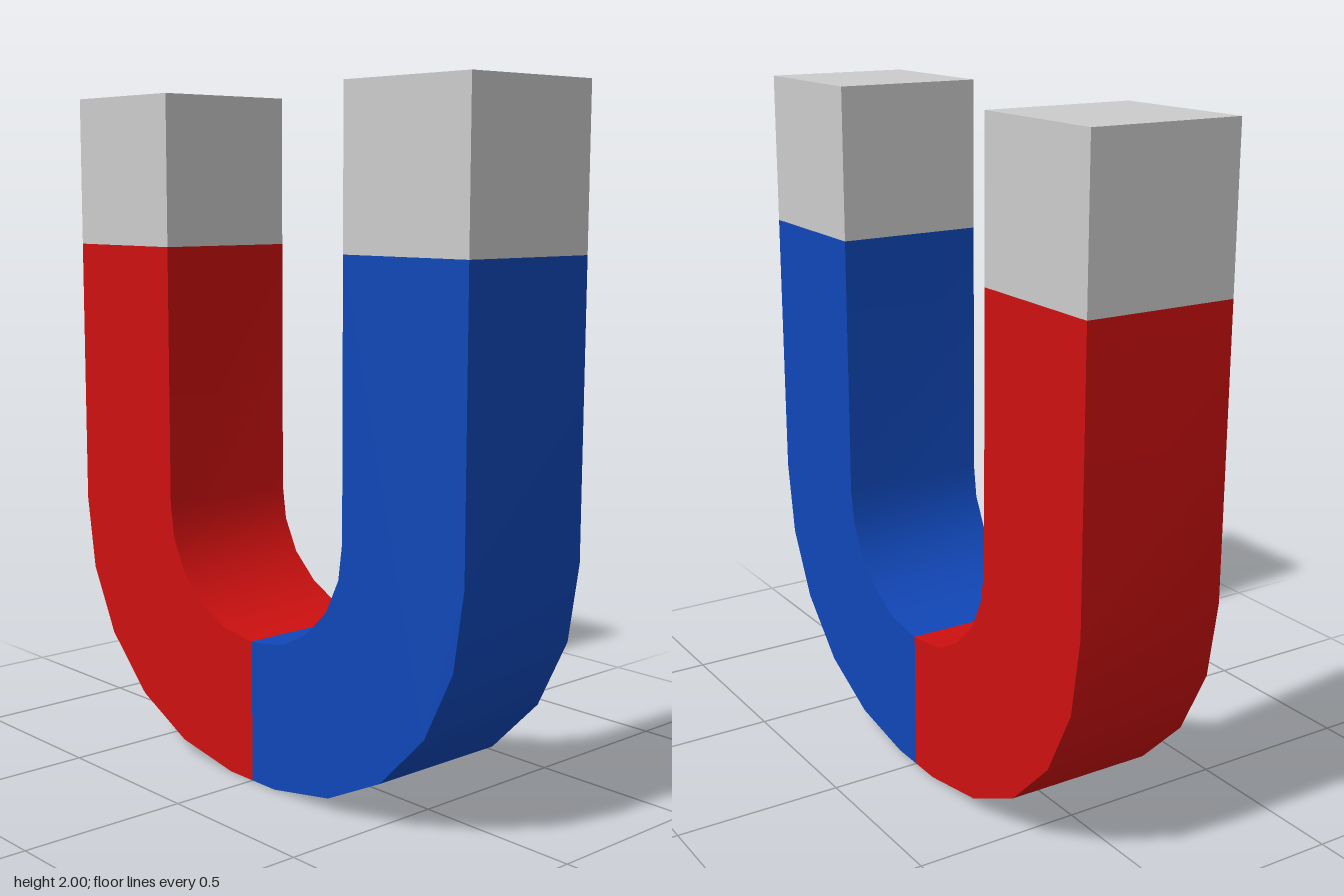
import * as THREE from 'three';
import { toCreasedNormals } from 'three/addons/utils/BufferGeometryUtils.js';

const WIDTH = 0.45;   // square bar section
const TIP_Y = 1.55;   // where the bare tips begin

// Half of the U as seen from the side: [z, y], outer edge then inner edge
const OUTER = [[0, 0], [0.1, 0], [0.33, 0.04], [0.535, 0.14], [0.7, 0.305], [0.8, 0.505], [0.835, 0.73], [0.835, TIP_Y]];
const INNER = [[0.385, TIP_Y], [0.385, 0.775], [0.37, 0.67], [0.32, 0.57], [0.235, 0.49], [0.14, 0.44], [0.02, 0.422], [0, 0.422]];

function halfGeometry() {
  const shape = new THREE.Shape([...OUTER, ...INNER].map(([z, y]) => new THREE.Vector2(z, y)));
  const geo = new THREE.ExtrudeGeometry(shape, { depth: WIDTH, bevelEnabled: false });
  geo.translate(0, 0, -WIDTH / 2);
  geo.rotateY(-Math.PI / 2); // profile runs along z, thickness along x
  return toCreasedNormals(geo, 0.6);
}

function createPole(name, color) {
  const pole = new THREE.Group();
  pole.name = name;

  // Painted arm with its half of the bend
  const arm = new THREE.Mesh(halfGeometry(), new THREE.MeshStandardMaterial({ color }));
  arm.name = name + 'Arm';

  // Bare metal tip
  const tip = new THREE.Mesh(
    new THREE.BoxGeometry(WIDTH, 2 - TIP_Y, WIDTH),
    new THREE.MeshStandardMaterial({ color: 0xcccccc })
  );
  tip.name = name + 'Tip';
  tip.position.set(0, (2 + TIP_Y) / 2, 0.61);

  pole.add(arm, tip);
  return pole;
}

export function createModel() {
  const magnet = new THREE.Group();
  magnet.name = 'horseshoeMagnet';
  const front = createPole('bluePole', 0x1047b8);
  const back = createPole('redPole', 0xce1010);
  back.rotation.y = Math.PI;
  magnet.add(front, back);
  return magnet;
}
